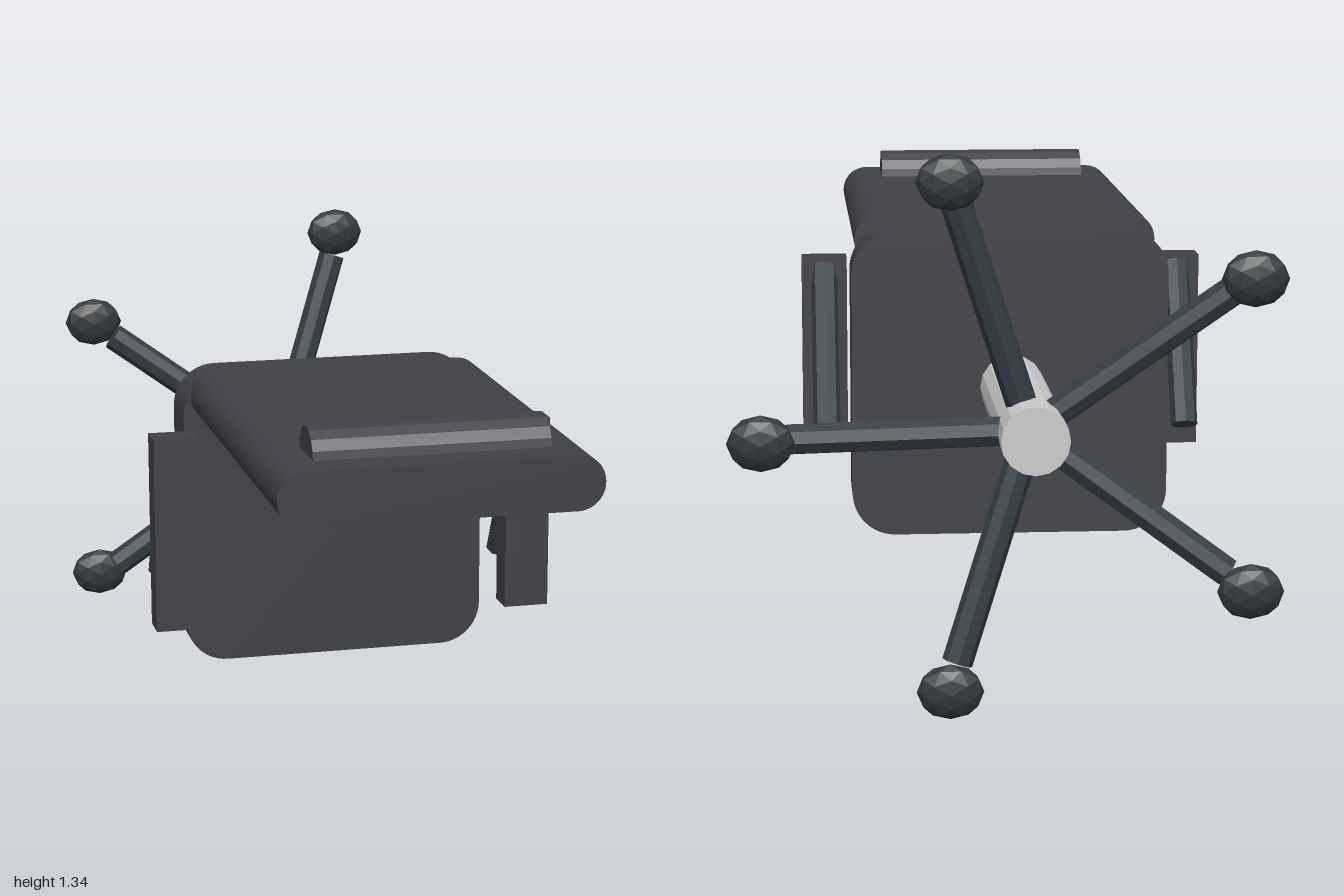
import * as THREE from 'three';

const CX = -0.063;  // middle of the chair in x
const HUB_Y = 0.674; // height of the column axis

const mat = (color, flatShading = false) => new THREE.MeshStandardMaterial({ color, flatShading });

function add(parent, name, geometry, material, x = 0, y = 0, z = 0) {
  const mesh = new THREE.Mesh(geometry, material);
  mesh.name = name;
  mesh.position.set(x, y, z);
  parent.add(mesh);
  return mesh;
}

// Rounded rectangle in xy, extruded along z and centred
function roundedSlab(w, h, depth, r) {
  const a = w / 2, b = h / 2, s = new THREE.Shape();
  s.absarc(a - r, b - r, r, 0, Math.PI / 2);
  s.absarc(-a + r, b - r, r, Math.PI / 2, Math.PI);
  s.absarc(-a + r, -b + r, r, Math.PI, Math.PI * 1.5);
  s.absarc(a - r, -b + r, r, Math.PI * 1.5, Math.PI * 2);
  s.closePath();
  return new THREE.ExtrudeGeometry(s, { depth, bevelEnabled: false, curveSegments: 6 })
    .translate(0, 0, -depth / 2);
}

// Straight rod between two points
function rod(parent, name, from, to, radius, sides, material) {
  const dir = to.clone().sub(from);
  const mesh = add(parent, name, new THREE.CylinderGeometry(radius, radius, dir.length(), sides), material);
  mesh.position.copy(from).addScaledVector(dir, 0.5);
  mesh.quaternion.setFromUnitVectors(new THREE.Vector3(0, 1, 0), dir.normalize());
  return mesh;
}

export function createModel() {
  const chair = new THREE.Group();
  chair.name = 'recliningOfficeChair';
  const V = (x, y, z) => new THREE.Vector3(x, y, z);
  const fabric = mat(0x404048);
  const frame = mat(0x343e48, true);
  const rubber = mat(0x32373a, true);
  const steel = mat(0xcccccc, true);

  // Upholstery: the chair lies on its back, seat upright and backrest level
  add(chair, 'seat', roundedSlab(0.81, 0.783, 0.147, 0.11), fabric, CX, 0.674, -0.192);
  add(chair, 'backrest', roundedSlab(0.782, 0.134, 1.085, 0.066), fabric, CX, 1.02, 0.4575);
  const pillow = add(chair, 'headPillow', new THREE.CylinderGeometry(0.075, 0.075, 0.573, 16), mat(0x404048, true), CX, 1.079, 0.834);
  pillow.rotation.z = Math.PI / 2;

  // Armrests with slanted supports
  for (const side of [-1, 1]) {
    const arm = new THREE.Group();
    arm.name = side > 0 ? 'leftArm' : 'rightArm';
    const x = CX + side * 0.467;
    add(arm, 'armPad', new THREE.BoxGeometry(0.118, 0.51, 0.08), fabric, x, 0.704, 0.08);
    rod(arm, 'armSupport', V(x, 0.537, -0.145), V(x, 0.935, 0.063), 0.035, 8, frame);
    chair.add(arm);
  }

  // Central column
  rod(chair, 'column', V(CX - 0.002, HUB_Y, -0.305), V(CX - 0.002, HUB_Y, -0.985), 0.082, 16, steel);

  // Five-spoke base with casters
  const base = new THREE.Group();
  base.name = 'base';
  for (let i = 0; i < 5; i++) {
    const a = i * Math.PI * 2 / 5;
    const at = (r, z) => V(CX + r * Math.cos(a), HUB_Y + r * Math.sin(a), z);
    rod(base, 'spoke', at(0.055, -0.855), at(0.575, -0.917), 0.037, 8, frame);
    const wheel = add(base, 'caster', new THREE.IcosahedronGeometry(1, 1), rubber);
    wheel.position.copy(at(0.636, -0.962));
    wheel.scale.set(0.08, 0.067, 0.036);
  }
  chair.add(base);
  return chair;
}
